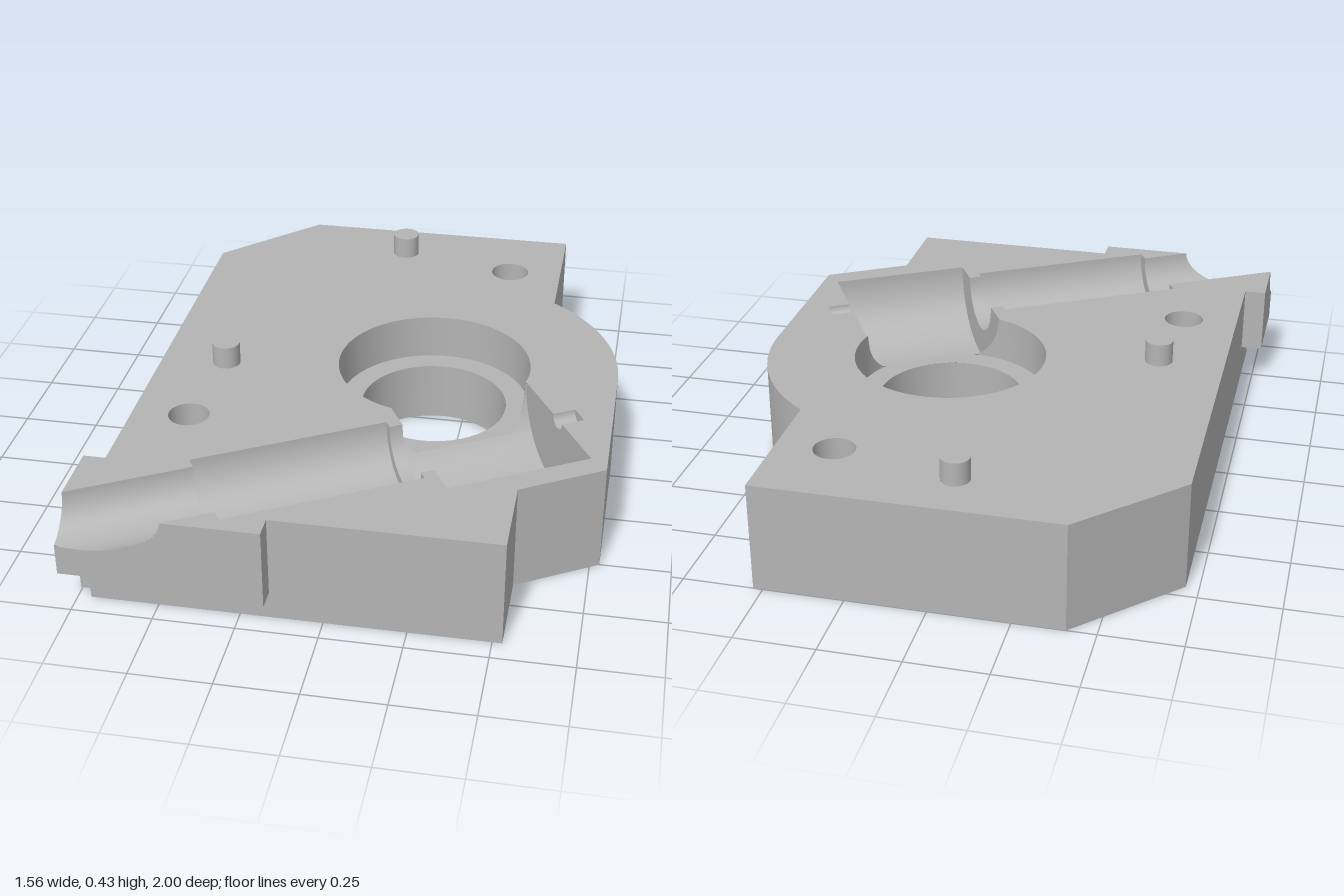
import * as THREE from 'three';

const TOP = 0.35, FLOOR = 0.2;                    // parting plane, counterbore floor
const BORE = { x: 0.18, z: -0.035, r: 0.24, R: 0.315 };
const SCREWS = [[0.35, -0.735], [-0.53, 0.415]];
const PINS = [[-0.045, -0.825], [-0.495, 0.075]];
const C = Math.cos(Math.PI / 6), S = 0.5;

// Shaft channel frame: s runs along the axis, t across it
const OX = 0.61, OZ = 0.24;
const P = (s, t) => [OX + C * s + S * t, OZ - S * s + C * t];
const BS = C * (BORE.x - OX) - S * (BORE.z - OZ);  // bore centre in the channel frame
const BT = S * (BORE.x - OX) + C * (BORE.z - OZ);

// Channel stations and radii
const MOUTH_END = -1.138, NECK_START = -0.5085, POCKET_START = -0.466, TIP = 0.075;
const R_MOUTH = 0.125, R_SHAFT = 0.165, R_NECK = 0.135, R_POCKET = 0.238, R_TIP = 0.033;
const mouthStart = (t) => Math.max((C * t - (1 - OZ)) / S, (-0.78 - OX - S * t) / C);

function range(n, a, b) {
  return Array.from({ length: n + 1 }, (_, i) => a + (b - a) * i / n);
}

function circle(x, z, r, n = 48) {
  return range(n, 0, Math.PI * 2).slice(0, n).map(a => [x + r * Math.cos(a), z + r * Math.sin(a)]);
}

export function createModel() {
  const model = new THREE.Group();
  model.name = 'housingHalf';
  const metal = new THREE.MeshStandardMaterial({ color: 0xb4b4b4, side: THREE.DoubleSide });
  metal.name = 'grey metal';

  function add(name, geometry) {
    const mesh = new THREE.Mesh(geometry, metal);
    mesh.name = name;
    model.add(mesh);
    return mesh;
  }

  // Smooth patch from a rule fn(u, v) -> [x, y, z]
  function patch(name, nu, nv, fn) {
    const pos = [], idx = [];
    for (let i = 0; i <= nu; i++) for (let j = 0; j <= nv; j++) pos.push(...fn(i / nu, j / nv));
    for (let i = 0; i < nu; i++) for (let j = 0; j < nv; j++) {
      const a = i * (nv + 1) + j, b = a + nv + 1;
      idx.push(a, a + 1, b, b, a + 1, b + 1);
    }
    const g = new THREE.BufferGeometry();
    g.setAttribute('position', new THREE.Float32BufferAttribute(pos, 3));
    g.setIndex(idx);
    g.computeVertexNormals();
    return add(name, g);
  }

  // Flat face from a 2D outline, placed by map(u, v) -> [x, y, z]
  function face(name, pts, holes, map) {
    const shape = new THREE.Shape(pts.map(p => new THREE.Vector2(...p)));
    shape.holes = holes.map(h => new THREE.Path(h.map(p => new THREE.Vector2(...p))));
    const g = new THREE.ShapeGeometry(shape);
    const p = g.attributes.position;
    for (let i = 0; i < p.count; i++) p.setXYZ(i, ...map(p.getX(i), p.getY(i)));
    g.computeVertexNormals();
    return add(name, g);
  }
  const level = (y) => (x, z) => [x, y, z];

  // Upright wall between two plan points
  const wall = (name, a, b, y0, y1) => patch(name, 1, 1, (u, v) =>
    [a[0] + (b[0] - a[0]) * u, y0 + (y1 - y0) * v, a[1] + (b[1] - a[1]) * u]);

  // Outer outline shared by top and bottom
  const A0 = -Math.acos((0.53 - BORE.x) / 0.6);
  const rim = range(24, A0, 0).map(a => [BORE.x + 0.6 * Math.cos(a), BORE.z + 0.6 * Math.sin(a)]);
  const back = [[-0.71, 0.7], [-0.71, -0.7], [-0.41, -1], [0.53, -1], rim[0]];
  const front = [rim[24], [0.78, 0.5], [0.53, 0.65], [0.53, 0.93], [-0.16, 0.93]];
  const outline = [...back, ...rim.slice(1, -1), ...front];

  // Top face, cut by the channel and the counterbore
  const profile = [
    [mouthStart(R_MOUTH), R_MOUTH], [MOUTH_END, R_MOUTH], [MOUTH_END, R_SHAFT],
    [NECK_START, R_SHAFT], [NECK_START, R_NECK], [POCKET_START, R_NECK],
    [POCKET_START, R_POCKET], [0, R_POCKET], [0, R_TIP], [TIP, R_TIP],
  ];
  const far = profile.map(([s, r], i) => [i ? s : mouthStart(-r), -r]).reverse();
  const a0 = Math.asin((-R_POCKET - BT) / BORE.R);
  const borePoint = (a) => [BS + BORE.R * Math.cos(a), BT + BORE.R * Math.sin(a)];
  const boreArc = range(64, 2 * Math.PI + a0, Math.PI - a0).map(borePoint);
  const cut = [...profile, ...far.slice(0, 3), ...boreArc, ...far.slice(3)].map(p => P(...p));
  face('topFace', [[-0.16, 1], ...cut, [-0.78, 0.7], ...outline],
    SCREWS.map(([x, z]) => circle(x, z, 0.065)), level(TOP));

  // Underside
  face('bottomFace', [...outline, [-0.71, 0.93]],
    [circle(BORE.x, BORE.z, BORE.r, 64), ...SCREWS.map(([x, z]) => circle(x, z, 0.125))], level(0));

  // Outer walls
  for (const run of [back, front])
    for (let i = 0; i + 1 < run.length; i++) wall('sideWall', run[i], run[i + 1], 0, TOP);
  patch('roundedSideWall', 24, 1, (u, v) => {
    const a = A0 * (1 - u);
    return [BORE.x + 0.6 * Math.cos(a), v * TOP, BORE.z + 0.6 * Math.sin(a)];
  });
  wall('frontLowerWall', [-0.16, 0.93], [-0.71, 0.93], 0, 0.09);
  wall('leftLowerWall', [-0.71, 0.93], [-0.71, 0.7], 0, 0.13);

  // Raised corner pads around the channel mouth
  wall('padEnd', [-0.16, 0.93], [-0.16, 1], 0.09, TOP);
  wall('padStep', [-0.71, 0.93], [-0.71, 1], 0.09, 0.13);
  wall('padEnd', [-0.78, 0.7], [-0.71, 0.7], 0.13, TOP);
  face('frontPadUnderside', [[-0.71, 0.93], [-0.16, 0.93], [-0.16, 1], [-0.71, 1]], [], level(0.09));
  face('sidePadUnderside', [[-0.78, 0.7], [-0.71, 0.7], [-0.71, 1], [-0.78, 1]], [], level(0.13));
  const tCorner = S * (-0.78 - OX) + C * (1 - OZ);
  const depthY = (r, t) => TOP - Math.sqrt(Math.max(0, r * r - t * t));
  const mouthEdge = (tEnd, axis) => range(32, Math.acos(tEnd / R_MOUTH), tEnd < 0 && axis ? Math.PI : 0)
    .map(a => R_MOUTH * Math.cos(a))
    .map(t => [P(mouthStart(t), t)[axis ? 1 : 0], depthY(R_MOUTH, t)]);
  face('frontPadFace', [[-0.16, TOP], [-0.16, 0.09], [-0.71, 0.09], [-0.71, 0.13], [-0.78, 0.13],
    ...mouthEdge(tCorner, 0)], [], (x, y) => [x, y, 1]);
  face('sidePadFace', [[0.7, TOP], [0.7, 0.13], [1, 0.13], ...mouthEdge(tCorner, 1)], [],
    (z, y) => [-0.78, y, z]);

  // Half-round channel sections; s limits may depend on t
  function trough(name, r, from, to, p0 = 0, p1 = Math.PI) {
    patch(name, 40, 1, (u, v) => {
      const p = p0 + (p1 - p0) * u, t = -r * Math.cos(p);
      const [x, z] = P(from(t) * (1 - v) + to(t) * v, t);
      return [x, TOP - r * Math.sin(p), z];
    });
  }
  const at = (s) => () => s;
  trough('channelMouth', R_MOUTH, mouthStart, at(MOUTH_END));
  trough('shaftChannel', R_SHAFT, at(MOUTH_END), at(NECK_START));
  trough('channelNeck', R_NECK, at(NECK_START), at(POCKET_START));
  trough('shaftTipChannel', R_TIP, at(0), at(TIP));

  // Gear pocket, trimmed where it breaks into the counterbore
  const pFloor = Math.asin((TOP - FLOOR) / R_POCKET);
  const half = (t) => Math.sqrt(Math.max(0, BORE.R ** 2 - (t - BT) ** 2));
  trough('gearPocket', R_POCKET, at(POCKET_START), at(0), pFloor, Math.PI);
  trough('gearPocketCorner', R_POCKET, at(POCKET_START), t => BS - half(t), 0, pFloor);
  trough('gearPocketCorner', R_POCKET, t => BS + half(t), at(0), 0, pFloor);

  // Half-ring shoulders where the channel changes radius
  for (const [s, r0, r1] of [[MOUTH_END, R_MOUTH, R_SHAFT], [NECK_START, R_NECK, R_SHAFT],
    [POCKET_START, R_NECK, R_POCKET], [0, R_TIP, R_POCKET], [TIP, 0, R_TIP]]) {
    patch('channelShoulder', 40, 1, (u, v) => {
      const r = r0 + (r1 - r0) * v;
      const [x, z] = P(s, -r * Math.cos(Math.PI * u));
      return [x, TOP - r * Math.sin(Math.PI * u), z];
    });
  }

  // Counterbore wall: full height, then lowered under the gear pocket
  function boreWall(from, to, topY) {
    patch('counterboreWall', 64, 1, (u, v) => {
      const [s, t] = borePoint(from + (to - from) * u);
      const [x, z] = P(s, t);
      return [x, FLOOR + (topY(t) - FLOOR) * v, z];
    });
  }
  boreWall(Math.PI - a0, 2 * Math.PI + a0, () => TOP);
  boreWall(a0, Math.PI - a0, t => Math.max(FLOOR, depthY(R_POCKET, t)));

  // Counterbore floor, cut straight along the pocket
  const tFloor = -R_POCKET * Math.cos(pFloor);
  const ledge = range(96, 0, 2 * Math.PI).slice(0, 96).map(borePoint)
    .map(([s, t]) => P(s, Math.min(t, tFloor)));
  face('counterboreFloor', ledge, [circle(BORE.x, BORE.z, BORE.r, 64)], level(FLOOR));

  // Bore, countersunk screw holes and locating pins
  function round(name, x, z, rTop, rBottom, y0, y1, open) {
    add(name, new THREE.CylinderGeometry(rTop, rBottom, y1 - y0, 48, 1, open))
      .position.set(x, (y0 + y1) / 2, z);
  }
  round('boreWall', BORE.x, BORE.z, BORE.r, BORE.r, 0, FLOOR, true);
  for (const [x, z] of SCREWS) {
    round('screwHole', x, z, 0.065, 0.065, 0.06, TOP, true);
    round('countersink', x, z, 0.065, 0.125, 0, 0.06, true);
  }
  for (const [x, z] of PINS) round('locatingPin', x, z, 0.045, 0.045, TOP, 0.425, false);
  return model;
}
